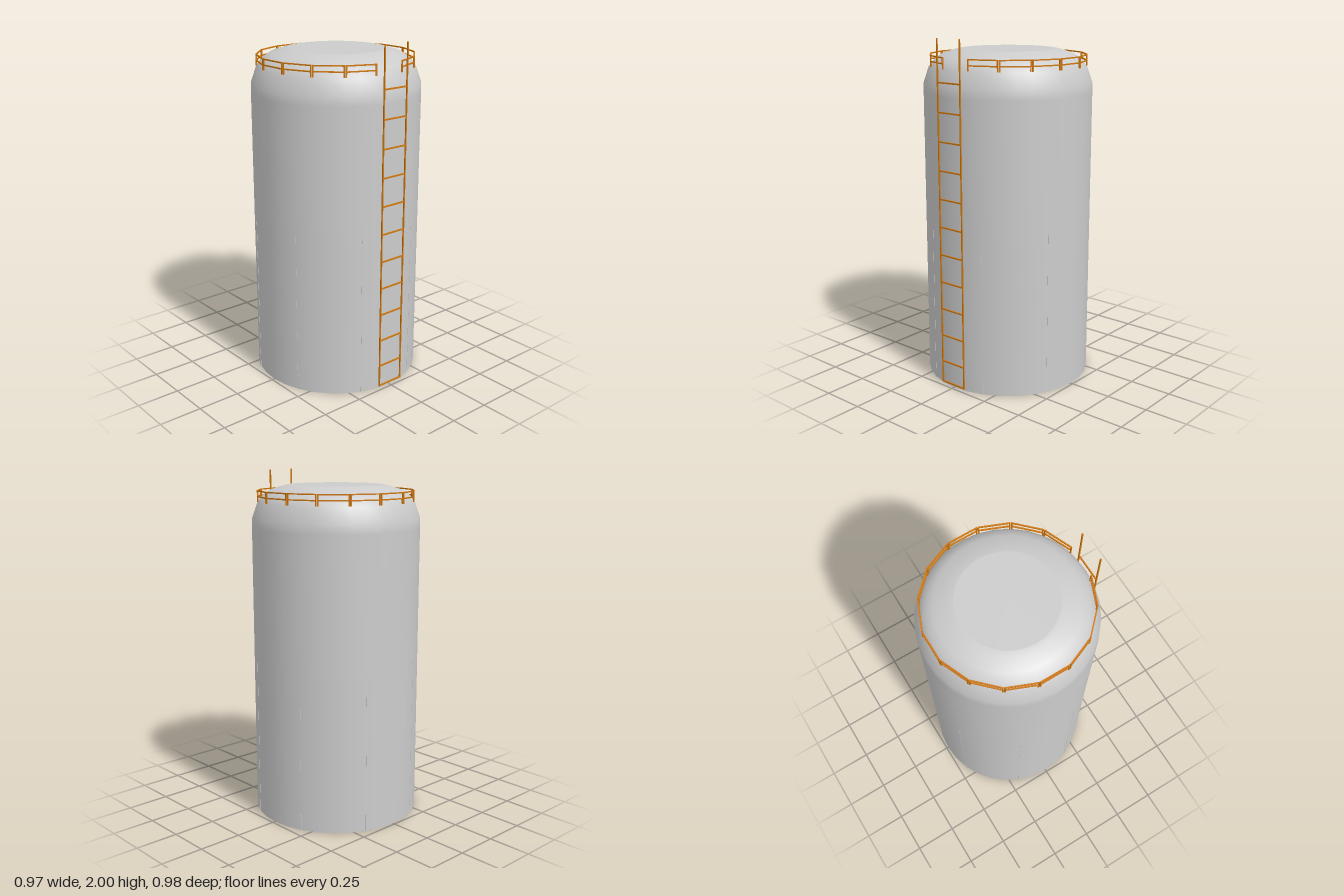
import * as THREE from 'three';

export function createModel() {
  const model = new THREE.Group();
  const shellGrey = new THREE.MeshStandardMaterial({ color: 0xcccccc });
  shellGrey.name = 'shell grey';
  const railOrange = new THREE.MeshStandardMaterial({ color: 0xcf780f });
  railOrange.name = 'rail orange';

  const add = (parent, name, geometry, material, x = 0, y = 0, z = 0) => {
    const mesh = new THREE.Mesh(geometry, material);
    mesh.name = name;
    mesh.position.set(x, y, z);
    parent.add(mesh);
    return mesh;
  };
  const group = (name, parent) => {
    const g = new THREE.Group();
    g.name = name;
    parent.add(g);
    return g;
  };

  // Tank: smooth wall and rounded shoulder, closed by flat discs
  const tank = group('tank', model);
  tank.position.z = -0.005;
  const profile = [
    [0.484, 0.005], [0.484, 0.9], [0.484, 1.69], [0.482, 1.745],
    [0.452, 1.83], [0.42, 1.872], [0.375, 1.902], [0.3, 1.925], [0.27, 1.93],
  ].map(([r, y]) => new THREE.Vector2(r, y));
  add(tank, 'shell', new THREE.LatheGeometry(profile, 32), shellGrey);
  const disc = (r) => new THREE.CircleGeometry(r, 32);
  add(tank, 'roof', disc(0.27), shellGrey, 0, 1.93).rotation.x = -Math.PI / 2;
  add(tank, 'base', disc(0.484), shellGrey, 0, 0.005).rotation.x = Math.PI / 2;

  // Eight slim wall seams, wider at the foot
  for (let i = 0; i < 8; i++) {
    const seam = group('wallSeam', tank);
    seam.rotation.y = (i + 0.5) * Math.PI / 4;
    add(seam, 'seamStrip', new THREE.BoxGeometry(0.004, 0.94, 0.004), shellGrey, 0, 0.475, 0.483);
    add(seam, 'seamFoot', new THREE.BoxGeometry(0.01, 0.09, 0.005), shellGrey, 0, 0.05, 0.483);
  }

  // Guard rail: sixteen straight sections with the front one left open
  const guardRail = group('guardRail', tank);
  for (let i = 1; i < 16; i++) {
    const section = group('railSection', guardRail);
    section.rotation.y = i * Math.PI / 8;
    add(section, 'topBar', new THREE.BoxGeometry(0.172, 0.007, 0.007), railOrange, 0, 1.897, 0.441);
    add(section, 'middleBar', new THREE.BoxGeometry(0.172, 0.007, 0.007), railOrange, 0, 1.865, 0.441);
    for (const side of [-1, 1]) {
      add(section, 'post', new THREE.BoxGeometry(0.007, 0.064, 0.007), railOrange, side * 0.0825, 1.868, 0.441);
    }
  }

  // Ladder: two stiles and evenly spaced rungs up the front
  const ladder = group('ladder', model);
  for (const side of [-1, 1]) {
    add(ladder, 'stile', new THREE.BoxGeometry(0.007, 1.985, 0.007), railOrange, side * 0.082, 1.0075, 0.486);
  }
  for (let i = 0; i < 12; i++) {
    const y = i === 0 ? 0.02 : 0.148 + (i - 1) * 0.1617;
    add(ladder, 'rung', new THREE.BoxGeometry(0.164, 0.008, 0.007), railOrange, 0, y, 0.486);
  }

  // Stand the model on the ground
  tank.position.y = -0.005;
  return model;
}
